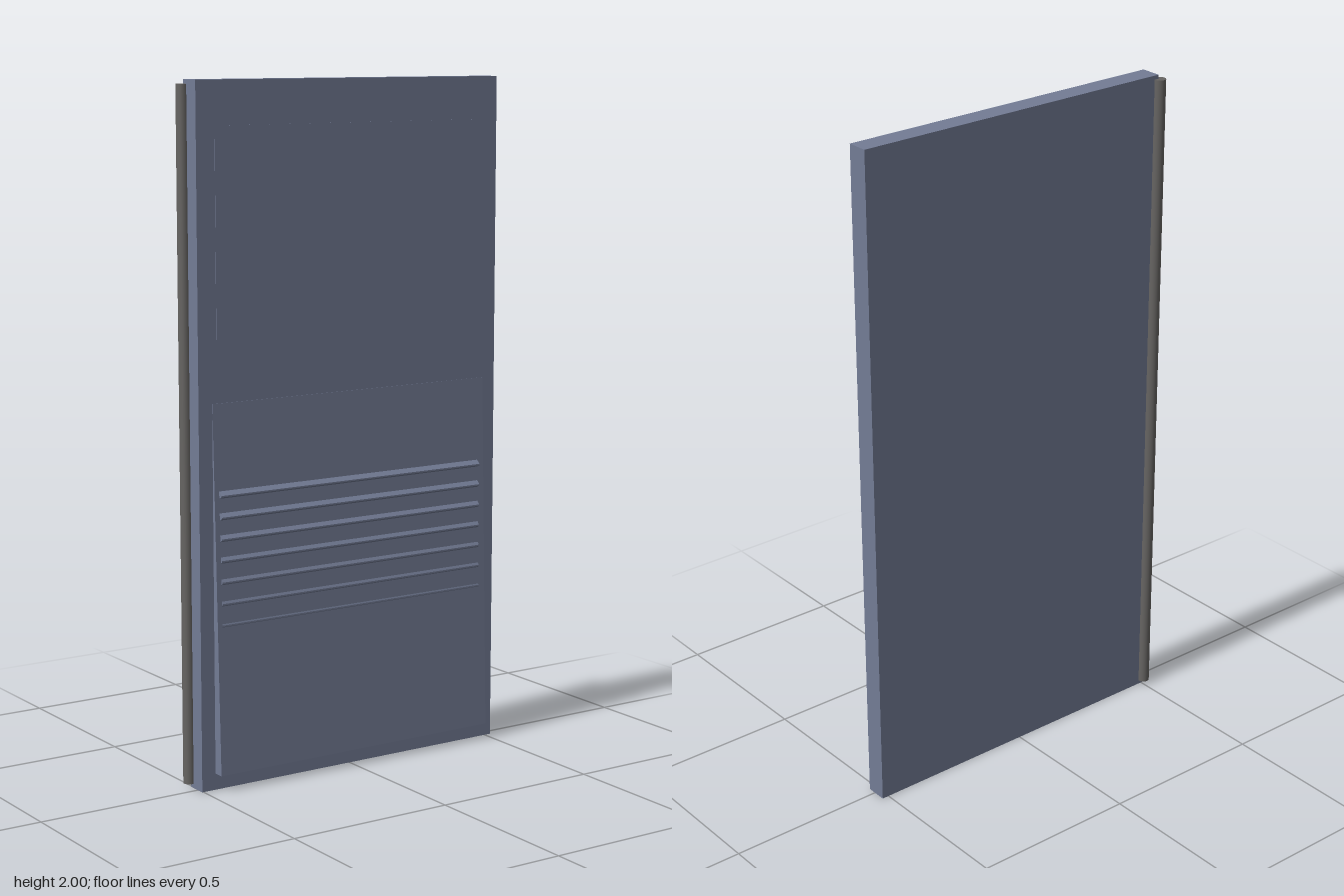
import * as THREE from 'three';

const FRONT = 0.025; // z of the door's front face

export function createModel() {
  const group = new THREE.Group();
  const paint = new THREE.MeshStandardMaterial({ name: 'blue grey paint', color: 0x737c95 });
  const steel = new THREE.MeshStandardMaterial({ name: 'hinge grey', color: 0x666462 });

  const add = (name, geometry, material, x = 0, y = 0, z = 0) => {
    const mesh = new THREE.Mesh(geometry, material);
    mesh.name = name;
    mesh.position.set(x, y, z);
    group.add(mesh);
  };

  // Side profile of [z, y] points swept along x from x0 to x1
  const prism = (points, x0, x1) => {
    const shape = new THREE.Shape(points.map(([z, y]) => new THREE.Vector2(-z, y)));
    const geometry = new THREE.ExtrudeGeometry(shape, { depth: x1 - x0, bevelEnabled: false });
    return geometry.rotateY(Math.PI / 2).translate(x0, 0, 0);
  };

  // Door slab and thin upper panel
  add('doorSlab', new THREE.BoxGeometry(1.025, 2, 0.064), paint, 0.0085, 1, FRONT - 0.032);
  add('upperPanel', new THREE.BoxGeometry(0.9, 0.655, 0.003), paint, 0.005, 1.548, FRONT);

  // Lower panel, sloping outward toward the bottom
  const bottom = 0.048, top = 1.11, bottomZ = 0.058, topZ = 0.026;
  const slopeZ = (y) => bottomZ + (topZ - bottomZ) * (y - bottom) / (top - bottom);
  add('slopedPanel', prism(
    [[0.02, bottom], [bottomZ, bottom], [topZ, top], [0.02, top]], -0.46, 0.478), paint);

  // Louvres share one front plane, so the lower ones sink into the slope
  for (let i = 0; i < 8; i++) {
    const y = 0.42 + i * 0.0618;
    const back = slopeZ(y) - 0.004;
    add('louvre', prism(
      [[back, y - 0.012], [0.0463, y - 0.004], [0.0463, y], [back, y + 0.014]], -0.445, 0.455), paint);
  }

  // Full-height hinge pin at the back edge
  add('hingePin', new THREE.CylinderGeometry(0.018, 0.018, 1.976, 24), steel, -0.507, 1, -0.041);

  return group;
}
